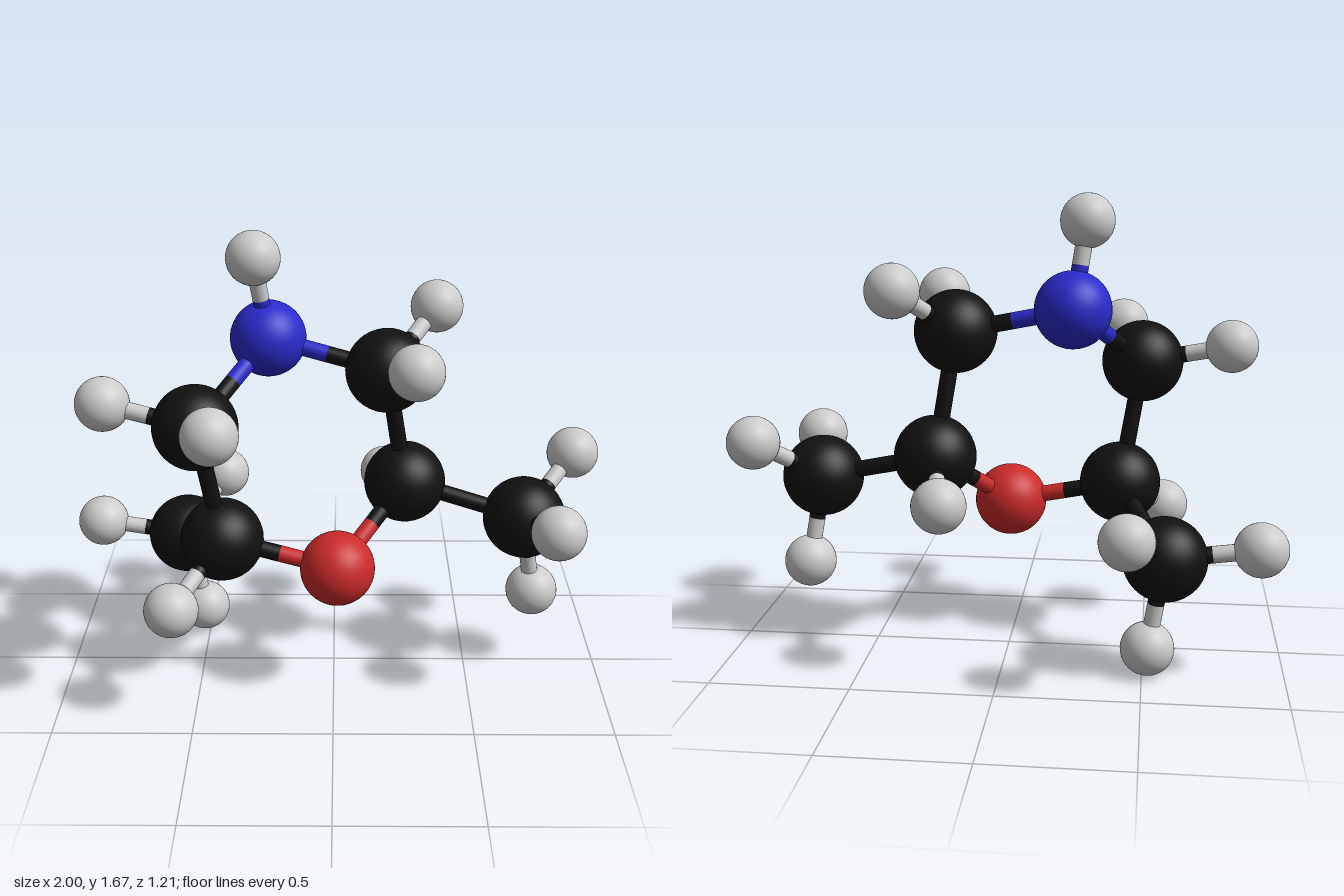
import * as THREE from 'three';

// Elements: ball radius and colour
const ELEMENTS = {
  carbon: { radius: 0.15, color: 0x111111 },
  nitrogen: { radius: 0.137, color: 0x2a2acc },
  oxygen: { radius: 0.135, color: 0xcc2a2a },
  hydrogen: { radius: 0.096, color: 0xcccccc },
};

// Ring and methyl atoms: element, centre, and the centres of attached hydrogens
const ATOMS = {
  nitrogen: ['nitrogen', [-0.235, 1.28, -0.1], [[-0.28, 1.585, -0.053]]],
  upperLeft: ['carbon', [0.19, 1.187, -0.02], [[0.375, 1.355, -0.247], [0.277, 1.287, 0.283]]],
  lowerLeft: ['carbon', [0.262, 0.735, -0.065], [[0.2, 0.638, -0.382]]],
  oxygen: ['oxygen', [0.014, 0.51, 0.198], []],
  lowerRight: ['carbon', [-0.402, 0.602, 0.15], [[-0.565, 0.45, 0.4]]],
  upperRight: ['carbon', [-0.477, 1.055, 0.197], [[-0.8, 1.122, 0.148], [-0.397, 1.15, 0.508]]],
  methylLeft: ['carbon', [0.7, 0.63, 0.02],
    [[0.9, 0.798, -0.192], [0.778, 0.72, 0.332], [0.75, 0.307, -0.017]]],
  methylRight: ['carbon', [-0.573, 0.43, -0.238],
    [[-0.903, 0.478, -0.25], [-0.518, 0.102, -0.248], [-0.445, 0.57, -0.508]]],
};

// Bonds between the heavy atoms
const BONDS = [
  ['nitrogen', 'upperLeft'], ['upperLeft', 'lowerLeft'], ['lowerLeft', 'oxygen'],
  ['oxygen', 'lowerRight'], ['lowerRight', 'upperRight'], ['upperRight', 'nitrogen'],
  ['lowerLeft', 'methylLeft'], ['lowerRight', 'methylRight'],
];

const BOND_RADIUS = 0.03;

export function createModel() {
  const model = new THREE.Group();
  model.name = 'molecule';

  const ballGeometry = new THREE.SphereGeometry(1, 40, 28);
  const rodGeometry = new THREE.CylinderGeometry(BOND_RADIUS, BOND_RADIUS, 1, 20);
  const materials = {};
  for (const [name, { color }] of Object.entries(ELEMENTS)) {
    materials[name] = new THREE.MeshStandardMaterial({ color });
  }

  const addBall = (element, position) => {
    const ball = new THREE.Mesh(ballGeometry, materials[element]);
    ball.name = `${element}Atom`;
    ball.position.set(...position);
    ball.scale.setScalar(ELEMENTS[element].radius);
    model.add(ball);
  };

  // Half a bond, in the colour of the atom it starts from
  const addHalfBond = (element, from, to) => {
    const start = new THREE.Vector3(...from);
    const half = new THREE.Vector3(...to).sub(start).multiplyScalar(0.5);
    const rod = new THREE.Mesh(rodGeometry, materials[element]);
    rod.name = `${element}HalfBond`;
    rod.position.copy(start).addScaledVector(half, 0.5);
    rod.scale.y = half.length();
    rod.quaternion.setFromUnitVectors(new THREE.Vector3(0, 1, 0), half.normalize());
    model.add(rod);
  };

  const addBond = (elementA, a, elementB, b) => {
    addHalfBond(elementA, a, b);
    addHalfBond(elementB, b, a);
  };

  // Heavy atoms with their hydrogens
  for (const [element, centre, hydrogens] of Object.values(ATOMS)) {
    addBall(element, centre);
    for (const h of hydrogens) {
      addBall('hydrogen', h);
      addBond(element, centre, 'hydrogen', h);
    }
  }

  // Ring and methyl bonds
  for (const [a, b] of BONDS) {
    addBond(ATOMS[a][0], ATOMS[a][1], ATOMS[b][0], ATOMS[b][1]);
  }

  return model;
}
